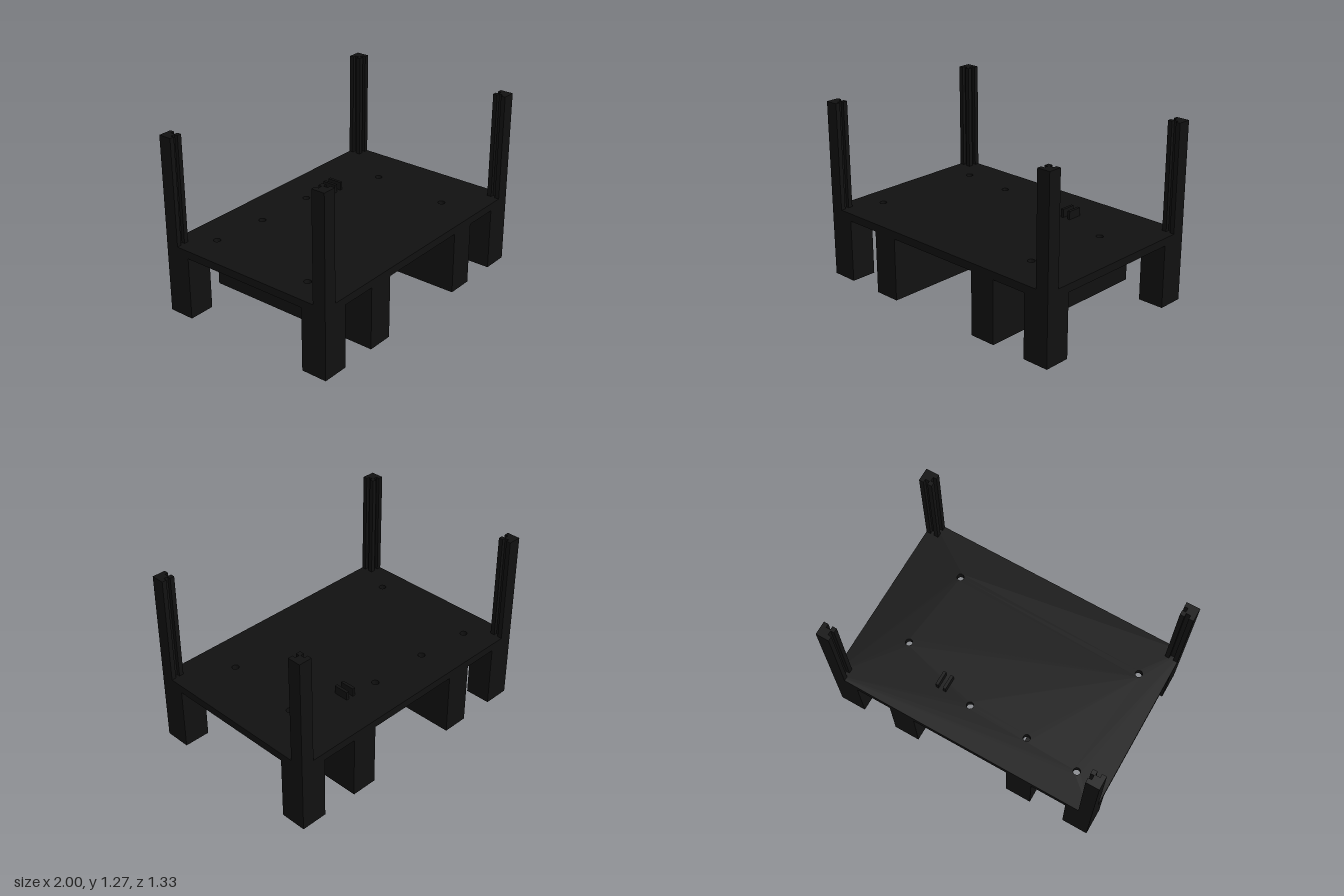
import * as THREE from 'three';

const material = new THREE.MeshStandardMaterial({ color: 0x111111 });
const X = 1, Z = 0.667, DECK_BOTTOM = 0.45, DECK_TOP = 0.505, TOP = 1.267;

function add(group, name, geometry) {
  const mesh = new THREE.Mesh(geometry, material);
  mesh.name = name;
  group.add(mesh);
  return mesh;
}

// Box given by its minimum and maximum on each axis
function box(group, name, x0, x1, y0, y1, z0, z1) {
  const mesh = add(group, name, new THREE.BoxGeometry(x1 - x0, y1 - y0, z1 - z0));
  mesh.position.set((x0 + x1) / 2, (y0 + y1) / 2, (z0 + z1) / 2);
  return mesh;
}

// Plan shape (points as x, z) raised from y0 to y1
function raise(shape, y0, y1) {
  const g = new THREE.ExtrudeGeometry(shape, { depth: y1 - y0, bevelEnabled: false, curveSegments: 8 });
  g.rotateX(-Math.PI / 2);
  g.translate(0, y0, 0);
  return g;
}

function polygon(points) {
  return new THREE.Shape(points.map(([x, z]) => new THREE.Vector2(x, -z)));
}

export function createModel() {
  const model = new THREE.Group();
  model.name = 'palletWithPosts';

  // Deck board with small round holes
  const deck = polygon([[-X, Z], [X, Z], [X, -Z], [-X, -Z]]);
  const holes = [[-0.77, -0.44], [-0.37, -0.405], [0.075, -0.395], [0.67, -0.21], [-0.81, 0.37], [0.61, 0.385]];
  for (const [x, z] of holes) {
    const hole = new THREE.Path();
    hole.absarc(x, -z, 0.025, 0, Math.PI * 2, true);
    deck.holes.push(hole);
  }
  add(model, 'deck', raise(deck, DECK_BOTTOM, DECK_TOP));

  // Corner post section: a square with a slot in each of its two inner faces
  const w = 0.095, a = 0.032, b = 0.062, d = 0.025;
  const section = [
    [0, 0], [0, w], [w, w], [w, 0],
    [b, 0], [b, d], [a, d], [a, 0],
  ];
  section.splice(1, 0, [0, a], [d, a], [d, b], [0, b]);

  for (const sx of [-1, 1]) {
    // Runner under the deck, front to back
    const inner = sx * 0.36, outer = sx * 0.55;
    box(model, sx > 0 ? 'leftRunner' : 'rightRunner',
      Math.min(inner, outer), Math.max(inner, outer), 0, DECK_BOTTOM, -Z, Z);

    for (const sz of [-1, 1]) {
      const corner = (sz > 0 ? 'front' : 'back') + (sx > 0 ? 'Left' : 'Right');
      // Corner leg
      const leg = box(model, corner + 'Leg', 0.81, X, 0, DECK_BOTTOM, 0.48, Z);
      leg.position.x *= sx;
      leg.position.z *= sz;
      // Slotted corner post
      const plan = section.map(([x, z]) => [sx * (X - w + x), sz * (Z - w + z)]);
      add(model, corner + 'Post', raise(polygon(plan), DECK_TOP, TOP));
    }
  }

  // Pair of upright tabs on the deck
  for (const x of [0.265, 0.322]) {
    box(model, 'tab', x, x + 0.021, DECK_TOP, 0.564, -0.395, -0.288);
  }

  return model;
}
